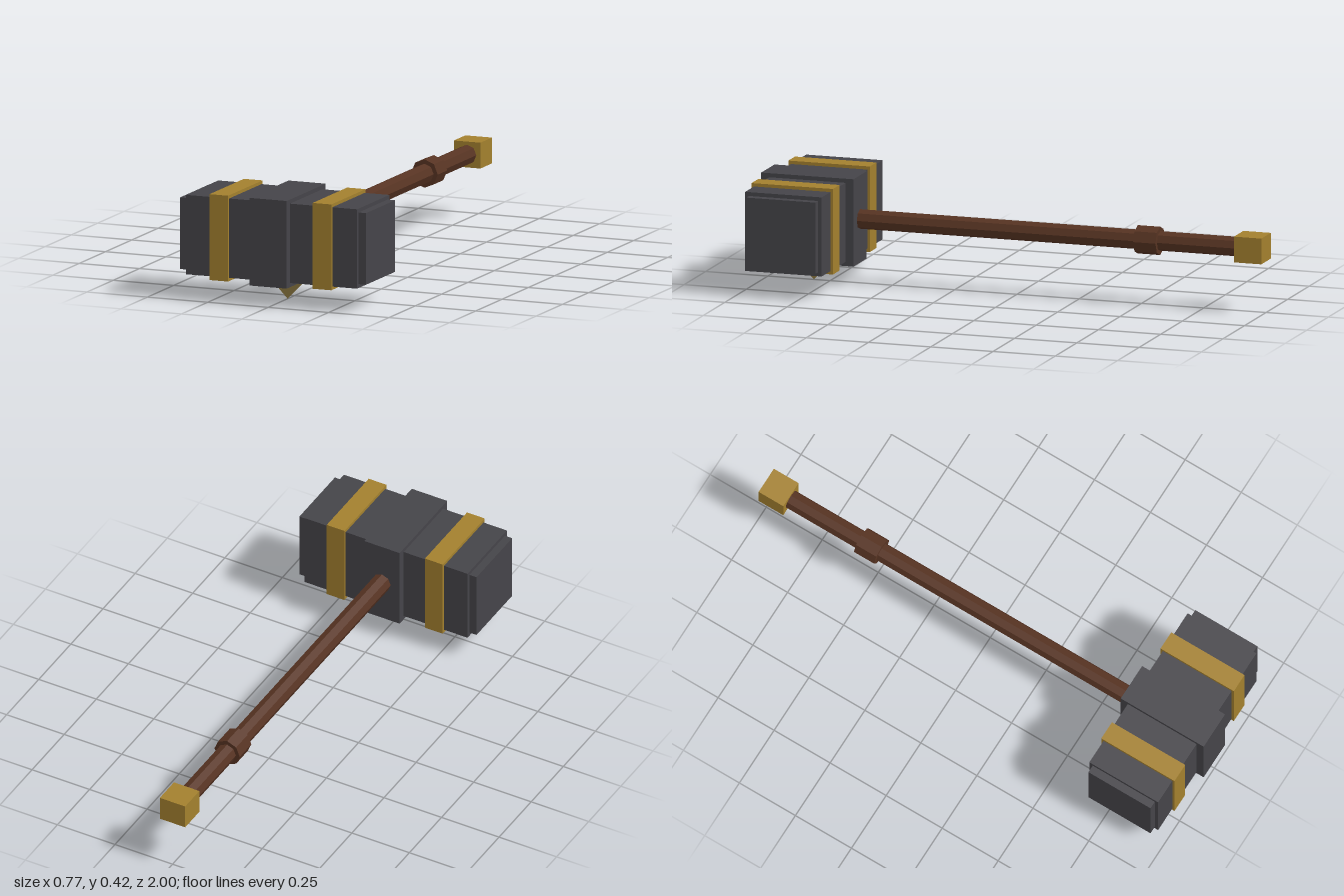
import * as THREE from 'three';

export function createModel() {
  const group = new THREE.Group();
  group.name = 'warHammer';

  const material = (name, color) => {
    const m = new THREE.MeshStandardMaterial({ color, flatShading: true });
    m.name = name;
    return m;
  };
  const iron = material('dark iron', 0x454449);
  const gold = material('gold', 0xa3802e);
  const brass = material('pale brass', 0x9c8648);
  const wood = material('brown wood', 0x573322);

  const add = (name, geometry, mat, x, y, z) => {
    const mesh = new THREE.Mesh(geometry, mat);
    mesh.name = name;
    mesh.position.set(x, y, z);
    group.add(mesh);
    return mesh;
  };

  const Y = 0.248;      // height of the hammer's axis
  const HEAD_Z = 0.815; // centre of the head

  // Head: nested blocks along x, plus a thicker middle block
  const block = (name, width, height, depth, mat, x = 0) =>
    add(name, new THREE.BoxGeometry(width, height, depth), mat, x, Y, HEAD_Z);
  block('headCore', 0.708, 0.307, 0.307, iron);
  block('headMiddle', 0.154, 0.339, 0.37, iron);
  for (const [side, s] of [['left', 1], ['right', -1]]) {
    block(side + 'StrikingFace', 0.041, 0.277, 0.277, iron, s * 0.3645);
    block(side + 'Band', 0.077, 0.332, 0.327, gold, s * 0.2135);
  }

  // Spike under the head, point down
  const spike = new THREE.ConeGeometry(0.077, 0.079, 4);
  spike.rotateX(Math.PI);
  add('spike', spike, brass, 0, 0.0395, HEAD_Z);

  // Eight-sided handle and grip collar, lying along z
  const rod = (name, radius, z0, z1) => {
    const geometry = new THREE.CylinderGeometry(radius, radius, z1 - z0, 8);
    geometry.rotateX(Math.PI / 2);
    add(name, geometry, wood, 0, Y, (z0 + z1) / 2);
  };
  rod('handle', 0.038, -0.9, 0.68);
  rod('gripCollar', 0.055, -0.575, -0.485);

  // Square pommel
  add('pommel', new THREE.BoxGeometry(0.11, 0.1, 0.11), gold, 0, Y, -0.945);

  return group;
}
